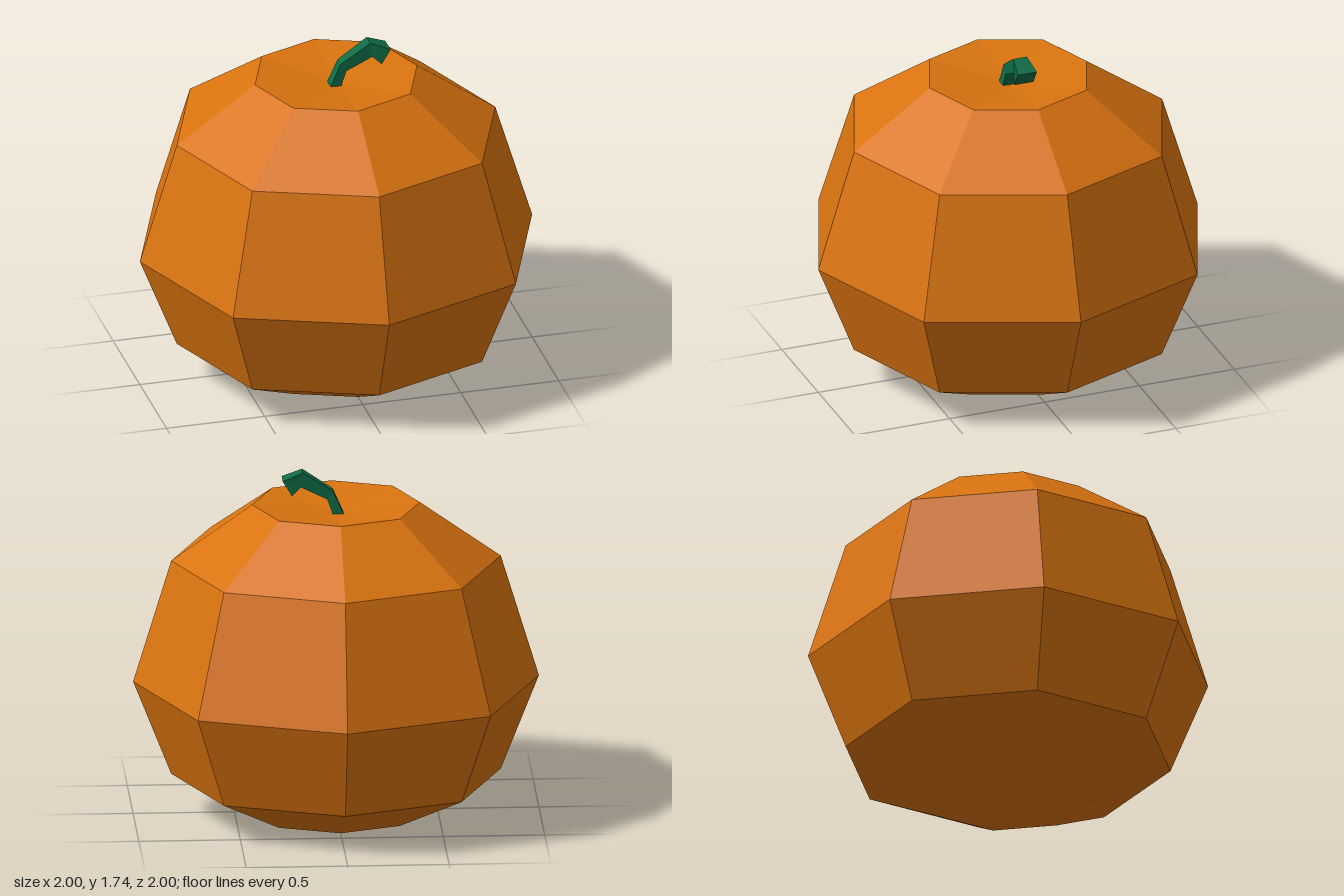
import * as THREE from 'three';

// Skin a list of closed rings (arrays of Vector3, counter-clockwise seen from
// the end they advance towards) and close both ends with fans to given points.
function loft(rings, startPoint, endPoint) {
  const pos = [];
  const tri = (a, b, c) => pos.push(...a.toArray(), ...b.toArray(), ...c.toArray());
  const n = rings[0].length;
  const last = rings[rings.length - 1];
  for (let i = 0; i < n; i++) {
    const j = (i + 1) % n;
    for (let k = 0; k < rings.length - 1; k++) {
      const lo = rings[k], hi = rings[k + 1];
      tri(lo[i], lo[j], hi[j]);
      tri(lo[i], hi[j], hi[i]);
    }
    tri(rings[0][j], rings[0][i], startPoint);
    tri(last[i], last[j], endPoint);
  }
  const geo = new THREE.BufferGeometry();
  geo.setAttribute('position', new THREE.Float32BufferAttribute(pos, 3));
  geo.computeVertexNormals();
  return geo;
}

const centre = (ring) =>
  ring.reduce((s, p) => s.add(p), new THREE.Vector3()).divideScalar(ring.length);

export function createModel() {
  const group = new THREE.Group();
  group.name = 'pumpkin';

  const orange = new THREE.MeshStandardMaterial({ color: 0xd9730f, flatShading: true });
  orange.name = 'pumpkin orange';
  const green = new THREE.MeshStandardMaterial({ color: 0x0f6b45, flatShading: true });
  green.name = 'stem green';

  // Eight-sided body: [radius, height], corners on the diagonals slightly further out
  const bodyRings = [[0.413, 0], [0.812, 0.2], [1, 0.675], [0.812, 1.29], [0.413, 1.57]]
    .map(([r, y]) => Array.from({ length: 8 }, (_, i) => {
      const a = (i * Math.PI) / 4;
      const d = i % 2 ? r * 1.02 : r;
      return new THREE.Vector3(d * Math.sin(a), y, d * Math.cos(a));
    }));
  // Flat underside, shallow dish around the stem
  const body = new THREE.Mesh(
    loft(bodyRings, new THREE.Vector3(0, 0, 0), new THREE.Vector3(0, 1.52, 0)), orange);
  body.name = 'body';
  group.add(body);

  // Hooked square stem: [outer x, outer y, inner x, inner y, half width]
  const stemRings = [
    [-0.04, 1.515, 0.015, 1.515, 0.033],
    [0.015, 1.64, 0.045, 1.6, 0.029],
    [0.165, 1.74, 0.175, 1.665, 0.036],
    [0.265, 1.7, 0.22, 1.625, 0.05],
  ].map(([ox, oy, ix, iy, w]) => [
    new THREE.Vector3(ox, oy, w),
    new THREE.Vector3(ix, iy, w),
    new THREE.Vector3(ix, iy, -w),
    new THREE.Vector3(ox, oy, -w),
  ]);
  const stem = new THREE.Mesh(
    loft(stemRings, centre(stemRings[0]), centre(stemRings[3])), green);
  stem.name = 'stem';
  group.add(stem);

  return group;
}
